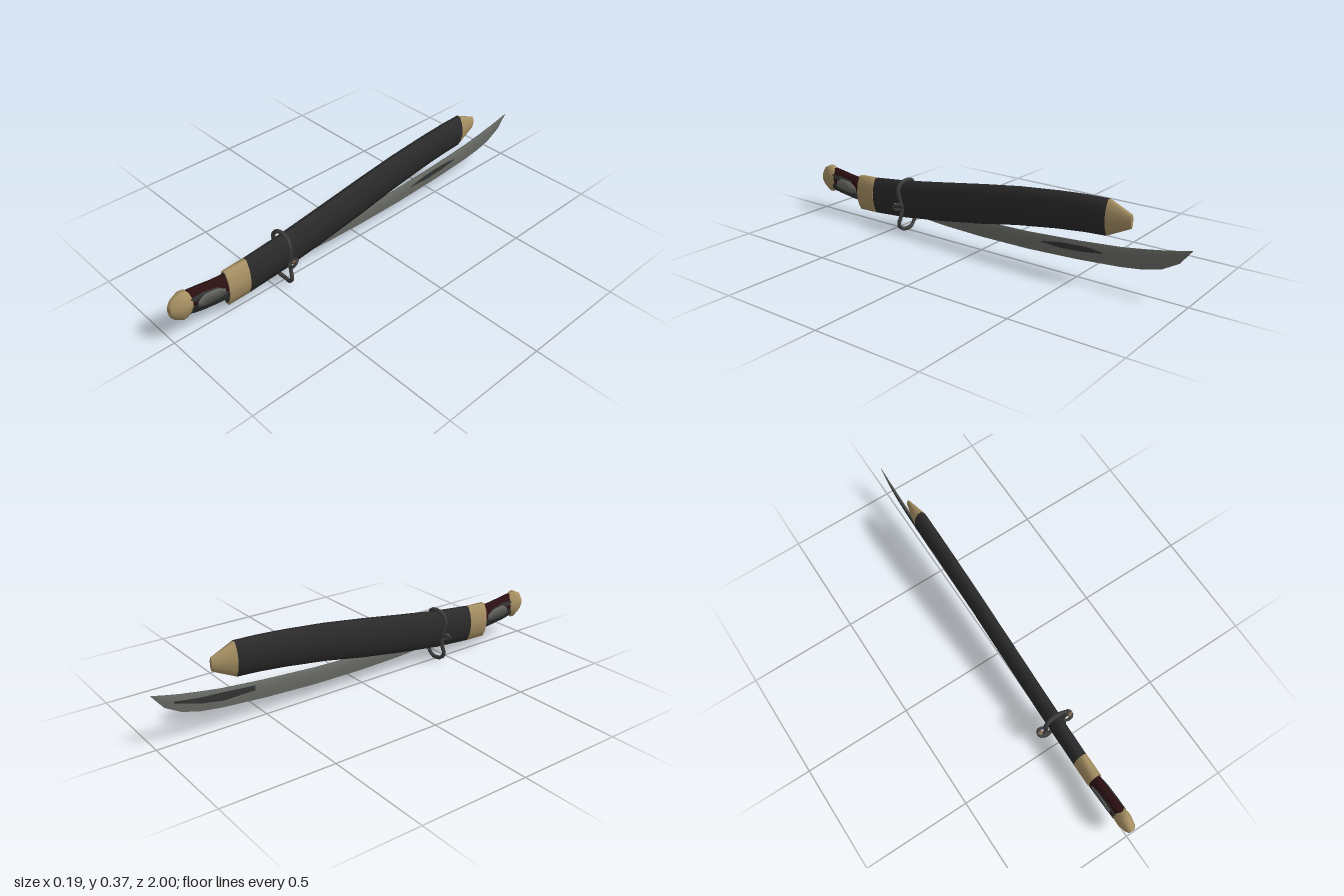
import * as THREE from 'three';

const mat = (name, color) => {
  const m = new THREE.MeshStandardMaterial({ color });
  m.name = name;
  return m;
};

// Half outlines (x, y from -1 to 1), from the bottom up along +x
const OVAL = [[0.32, -1], [0.8, -0.6], [1, -0.15], [1, 0.15], [0.8, 0.6], [0.32, 1]];
const SLAB = [[1, -1], [1, 1]];
const WEDGE = [[0.06, -1], [0.8, -0.2], [1, 0.4], [0.6, 1]];

// Skin over sections [z, bottom, top, halfWidth] listed from front to back
function loft(sections, half, offsetX = 0) {
  const outline = [...half, ...half.map(([x, y]) => [-x, y]).reverse()];
  const n = outline.length;
  const pos = [], idx = [];
  const addRing = ([z, lo, hi, w]) => {
    for (const [x, y] of outline) pos.push(offsetX + x * w, (lo + hi) / 2 + y * (hi - lo) / 2, z);
  };
  sections.forEach(addRing);
  for (let i = 0; i < sections.length - 1; i++) {
    for (let j = 0; j < n; j++) {
      const a = i * n + j, b = i * n + (j + 1) % n;
      idx.push(a, a + n, b, b, a + n, b + n);
    }
  }
  // End caps have their own vertices, so their edges stay sharp
  [sections[0], sections[sections.length - 1]].forEach((s, end) => {
    const base = pos.length / 3;
    addRing(s);
    for (let j = 1; j < n - 1; j++) {
      if (end === 0) idx.push(base, base + j, base + j + 1);
      else idx.push(base, base + j + 1, base + j);
    }
  });
  const g = new THREE.BufferGeometry();
  g.setAttribute('position', new THREE.Float32BufferAttribute(pos, 3));
  g.setIndex(idx);
  g.computeVertexNormals();
  return g;
}

function loopTube(points, segments, radius) {
  const curve = new THREE.CatmullRomCurve3(points.map(p => new THREE.Vector3(...p)), true);
  return new THREE.TubeGeometry(curve, segments, radius, 6, true);
}

export function createModel() {
  const model = new THREE.Group();
  model.name = 'swordAndScabbard';
  const black = mat('scabbard black', 0x2b2b2b);
  const brass = mat('pale brass', 0xa89164);
  const red = mat('dark red grip', 0x2c1012);
  const steel = mat('blade steel', 0x6c6e68);
  const darkSteel = mat('dark steel', 0x333534);
  const gripGrey = mat('grip inlay grey', 0x666762);
  const iron = mat('cord grey', 0x3e3f3f);
  const brown = mat('knot brown', 0x80694f);

  const add = (name, geometry, material, parent = model) => {
    const mesh = new THREE.Mesh(geometry, material);
    mesh.name = name;
    parent.add(mesh);
    return mesh;
  };

  // Scabbard: brass throat, curved black body, tapered brass tip
  add('scabbardThroat', loft([
    [0.74, 0.047, 0.217, 0.033], [0.635, 0.05, 0.222, 0.033],
  ], OVAL), brass);
  add('scabbardBody', loft([
    [0.635, 0.05, 0.222, 0.032], [0.44, 0.065, 0.243, 0.032], [0.22, 0.095, 0.276, 0.032],
    [0, 0.13, 0.31, 0.032], [-0.2, 0.168, 0.338, 0.032], [-0.4, 0.197, 0.358, 0.032],
    [-0.53, 0.211, 0.367, 0.032], [-0.635, 0.218, 0.37, 0.032],
  ], OVAL), black);
  add('scabbardTip', loft([
    [-0.635, 0.218, 0.37, 0.032], [-0.74, 0.268, 0.326, 0.009],
  ], OVAL), brass);
  add('throatOpening', loft([
    [0.742, 0.056, 0.208, 0.028], [0.738, 0.056, 0.208, 0.028],
  ], OVAL), darkSteel);

  // Blade: thin curved wedge with an upswept point
  add('blade', loft([
    [0.72, 0.1, 0.18, 0.005], [0.4, 0.083, 0.16, 0.005], [0.2, 0.071, 0.146, 0.005],
    [0, 0.066, 0.141, 0.005], [-0.25, 0.068, 0.147, 0.005], [-0.5, 0.08, 0.163, 0.005],
    [-0.7, 0.096, 0.181, 0.005], [-0.8, 0.11, 0.196, 0.005], [-0.88, 0.132, 0.21, 0.004],
    [-0.95, 0.172, 0.225, 0.003], [-1, 0.235, 0.238, 0.001],
  ], WEDGE), steel);
  add('bladePatchLeft', loft([
    [-0.32, 0.118, 0.121, 0.001], [-0.42, 0.113, 0.138, 0.001],
    [-0.54, 0.122, 0.146, 0.001], [-0.62, 0.136, 0.14, 0.001],
  ], SLAB, 0.0048), darkSteel);
  add('bladePatchRight', loft([
    [-0.55, 0.13, 0.152, 0.001], [-0.7, 0.128, 0.165, 0.001],
    [-0.8, 0.146, 0.172, 0.001], [-0.91, 0.182, 0.188, 0.001],
  ], SLAB, -0.0044), darkSteel);

  // Grip with inlaid sides
  add('grip', loft([
    [0.925, 0.11, 0.225, 0.027], [0.87, 0.105, 0.218, 0.027],
    [0.8, 0.093, 0.207, 0.027], [0.72, 0.085, 0.2, 0.027],
  ], OVAL), red);
  add('gripInlayRim', loft([
    [0.915, 0.125, 0.195, 0.0268], [0.86, 0.112, 0.195, 0.0268],
    [0.79, 0.103, 0.182, 0.0268], [0.745, 0.098, 0.14, 0.0268],
  ], SLAB), darkSteel);
  add('gripInlay', loft([
    [0.885, 0.14, 0.165, 0.028], [0.85, 0.128, 0.186, 0.028],
    [0.79, 0.124, 0.178, 0.028], [0.755, 0.13, 0.155, 0.028],
  ], SLAB), gripGrey);

  // Pommel
  add('pommel', loft([
    [1, 0.14, 0.192, 0.015], [0.985, 0.122, 0.217, 0.024], [0.95, 0.1, 0.234, 0.032],
    [0.93, 0.103, 0.232, 0.032], [0.908, 0.115, 0.219, 0.029],
  ], OVAL), brass);

  // Cord tied round the scabbard, with an upper and a lower loop
  const cord = new THREE.Group();
  cord.name = 'cord';
  model.add(cord);
  add('cordLoops', loopTube([
    [0, 0.249, 0.44], [0.038, 0.24, 0.443], [0.056, 0.21, 0.446], [0.05, 0.165, 0.443],
    [0.04, 0.118, 0.44], [0.047, 0.075, 0.442], [0.057, 0.042, 0.446], [0.035, 0.016, 0.445],
    [0, 0.011, 0.44], [-0.035, 0.018, 0.445], [-0.054, 0.046, 0.446], [-0.046, 0.075, 0.442],
    [-0.04, 0.118, 0.44], [-0.048, 0.165, 0.443], [-0.056, 0.21, 0.446], [-0.038, 0.24, 0.443],
  ], 40, 0.0095), iron);

  // Side bows with brown tips
  for (const s of [1, -1]) {
    add('sideBow', loopTube([
      [s * 0.04, 0.118, 0.44], [s * 0.06, 0.143, 0.43], [s * 0.082, 0.15, 0.432],
      [s * 0.084, 0.132, 0.454], [s * 0.06, 0.114, 0.456],
    ], 16, 0.007), iron, cord);
    const tip = add('bowTip', new THREE.OctahedronGeometry(1), brown, cord);
    tip.scale.set(0.02, 0.011, 0.014);
    tip.position.set(s * 0.076, 0.144, 0.444);
    tip.rotation.z = s * 0.7;
  }
  return model;
}
